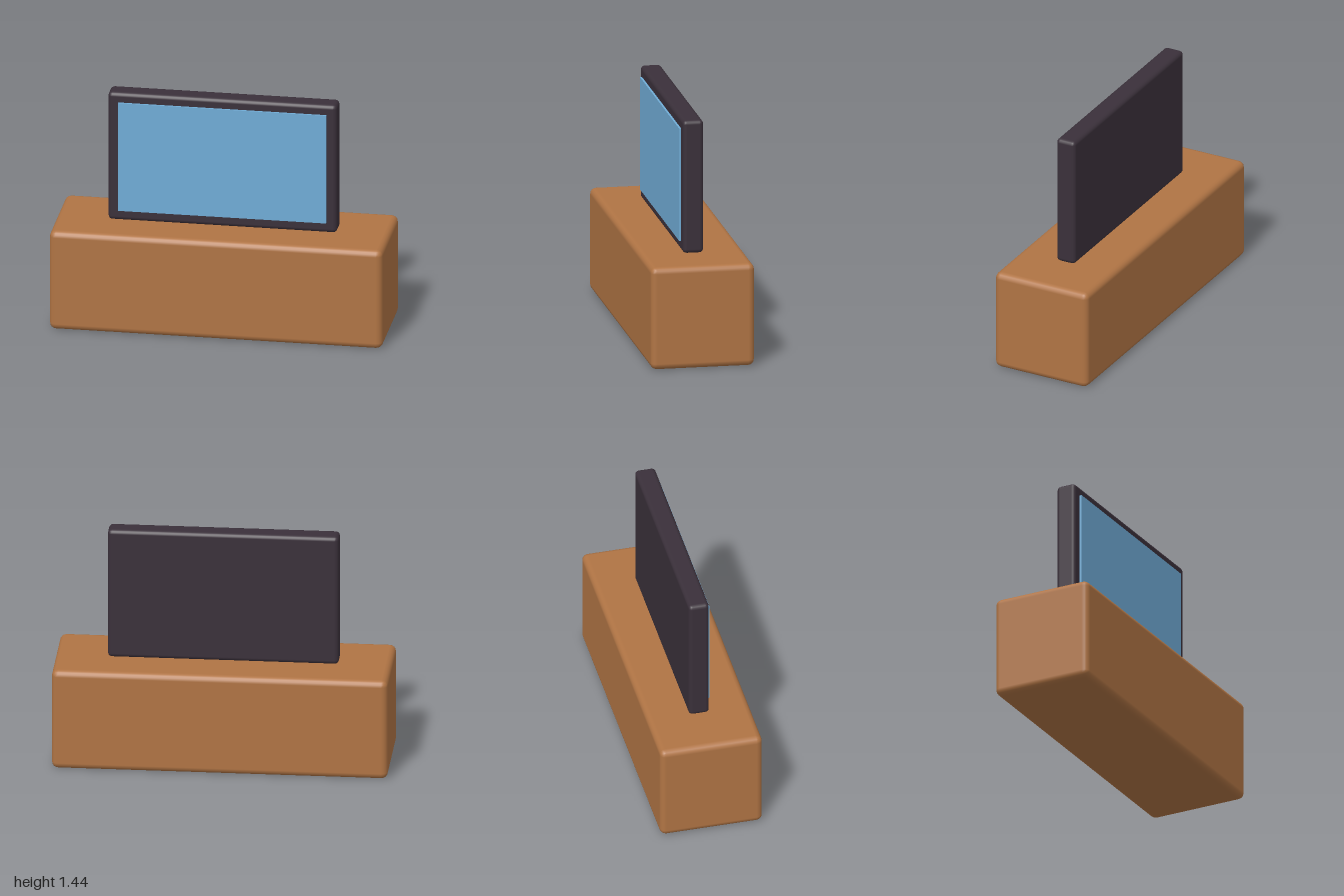
import * as THREE from 'three';
import { RoundedBoxGeometry } from 'three/addons/geometries/RoundedBoxGeometry.js';

function material(name, color) {
  const m = new THREE.MeshStandardMaterial({ color });
  m.name = name;
  return m;
}

export function createModel() {
  const group = new THREE.Group();
  group.name = 'televisionOnCabinet';

  const wood = material('warmWood', 0xb07444);
  const casing = material('darkCasing', 0x3a303a);
  const glass = material('blueScreen', 0x70acd6);

  const add = (name, geometry, mat, y, z = 0) => {
    const mesh = new THREE.Mesh(geometry, mat);
    mesh.name = name;
    mesh.position.set(0, y, z);
    group.add(mesh);
  };

  // Long wooden cabinet with softened edges
  add('cabinet', new RoundedBoxGeometry(2, 0.625, 0.625, 2, 0.038), wood, 0.3125);

  // Television body standing on the cabinet
  add('televisionFrame', new RoundedBoxGeometry(1.375, 0.8125, 0.125, 2, 0.025), casing, 1.03125);

  // Screen panel, set into the front and slightly proud of it
  add('screen', new THREE.BoxGeometry(1.25, 0.6875, 0.025), glass, 1.03375, 0.0625);

  return group;
}
